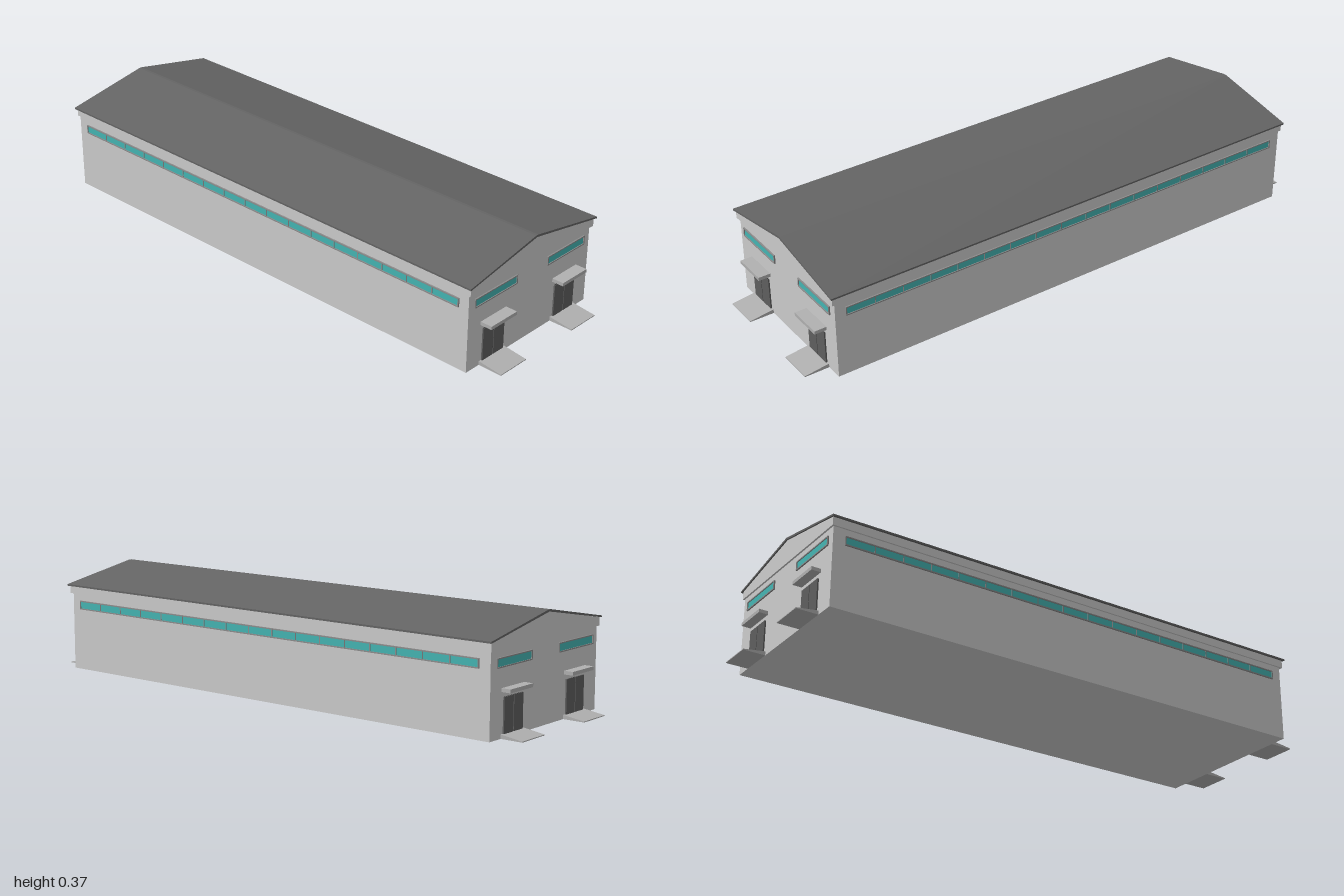
import * as THREE from 'three';

const material = (color) => new THREE.MeshStandardMaterial({ color, flatShading: true });
const wallMat = material(0xcccccc);
const roofMat = material(0x646464);
const doorMat = material(0x5e5e5e);
const gapMat = material(0x2c2c2c);
const concreteMat = material(0xb0b0b0);
const frameMat = material(0x8c8c8c);
const glassMat = material(0x44b4b2);

const CX = -0.005; // middle of the hall's length

function add(parent, name, geometry, mat, x = 0, y = 0, z = 0) {
  const mesh = new THREE.Mesh(geometry, mat);
  mesh.name = name;
  mesh.position.set(x, y, z);
  parent.add(mesh);
  return mesh;
}

const box = (w, h, d) => new THREE.BoxGeometry(w, h, d);

// Extrudes a (z, y) outline along x, centred on x = 0
function extrudeAlongX(points, length) {
  const shape = new THREE.Shape(points.map(([z, y]) => new THREE.Vector2(-z, y)));
  const geometry = new THREE.ExtrudeGeometry(shape, { depth: length, bevelEnabled: false });
  geometry.translate(0, 0, -length / 2);
  geometry.rotateY(Math.PI / 2);
  return geometry;
}

// Framed ribbon window facing +z, with its back on z = 0
function makeWindow(name, width, height, panes) {
  const group = new THREE.Group();
  group.name = name;
  const rim = 0.004, depth = 0.005;
  const rect = (path, w, h) => path.moveTo(-w, -h).lineTo(w, -h).lineTo(w, h).lineTo(-w, h).closePath();
  const outline = rect(new THREE.Shape(), width / 2, height / 2);
  outline.holes.push(rect(new THREE.Path(), width / 2 - rim, height / 2 - rim));
  add(group, 'windowFrame', new THREE.ExtrudeGeometry(outline, { depth, bevelEnabled: false }), frameMat);
  const glassWidth = width - 2 * rim;
  add(group, 'windowGlass', box(glassWidth, height - 2 * rim, 0.002), glassMat, 0, 0, 0.001);
  for (let i = 1; i < panes; i++) {
    const x = -glassWidth / 2 + (glassWidth * i) / panes;
    add(group, 'windowMullion', box(0.003, height - 2 * rim, 0.004), frameMat, x, 0, 0.002);
  }
  return group;
}

// Double door with canopy and ramp, facing +z, with its back on z = 0
function makeEntrance(wallX) {
  const group = new THREE.Group();
  group.name = 'entrance';
  const reach = 1 - wallX;
  add(group, 'doorGap', box(0.1, 0.124, 0.003), gapMat, 0, 0.066, 0.0015);
  for (const s of [-1, 1]) {
    add(group, 'doorLeaf', box(0.05, 0.124, 0.005), doorMat, s * 0.0265, 0.066, 0.0025);
  }
  add(group, 'canopy', box(0.124, 0.012, 0.955 - wallX), concreteMat, 0, 0.151, (0.955 - wallX) / 2);
  const ramp = extrudeAlongX([[0, 0], [reach, 0], [reach, 0.003], [0, 0.014]], 0.124);
  add(group, 'ramp', ramp, concreteMat);
  return group;
}

export function createModel() {
  const model = new THREE.Group();
  model.name = 'warehouse';

  // Walls, then the slightly wider eaves band that carries the gables
  add(model, 'walls', box(1.834, 0.28, 0.606), wallMat, CX, 0.14, 0);
  const gable = extrudeAlongX([[0.309, 0.277], [0.309, 0.305], [0, 0.363], [-0.309, 0.305], [-0.309, 0.277]], 1.85);
  add(model, 'eavesBandAndGables', gable, wallMat, CX + 0.002);

  // Pitched roof sheet
  const roof = extrudeAlongX([
    [0.317, 0.304], [0.317, 0.31], [0.005, 0.369], [-0.005, 0.369],
    [-0.317, 0.31], [-0.317, 0.304], [0, 0.362],
  ], 1.861);
  add(model, 'roof', roof, roofMat, CX + 0.003);

  // Ribbon windows along both long walls
  for (const s of [-1, 1]) {
    const strip = makeWindow('longWindow', 1.756, 0.032, 17);
    strip.position.set(-0.003, 0.237, s * 0.303);
    strip.rotation.y = s > 0 ? 0 : Math.PI;
    model.add(strip);
  }

  // Each end wall has two windows and two entrances
  const ends = [
    { side: 1, wallX: 0.912, doors: [0.179, -0.181] },
    { side: -1, wallX: 0.922, doors: [0.173, -0.181] },
  ];
  for (const { side, wallX, doors } of ends) {
    const end = new THREE.Group();
    end.name = side > 0 ? 'leftEnd' : 'rightEnd';
    for (const [z, width] of [[0.174, 0.206], [-0.178, 0.193]]) {
      const win = makeWindow('endWindow', width, 0.032, 1);
      win.position.set(side * wallX, 0.237, z);
      win.rotation.y = (side * Math.PI) / 2;
      end.add(win);
    }
    for (const z of doors) {
      const entrance = makeEntrance(wallX);
      entrance.position.set(side * wallX, 0, z);
      entrance.rotation.y = (side * Math.PI) / 2;
      end.add(entrance);
    }
    model.add(end);
  }
  return model;
}
